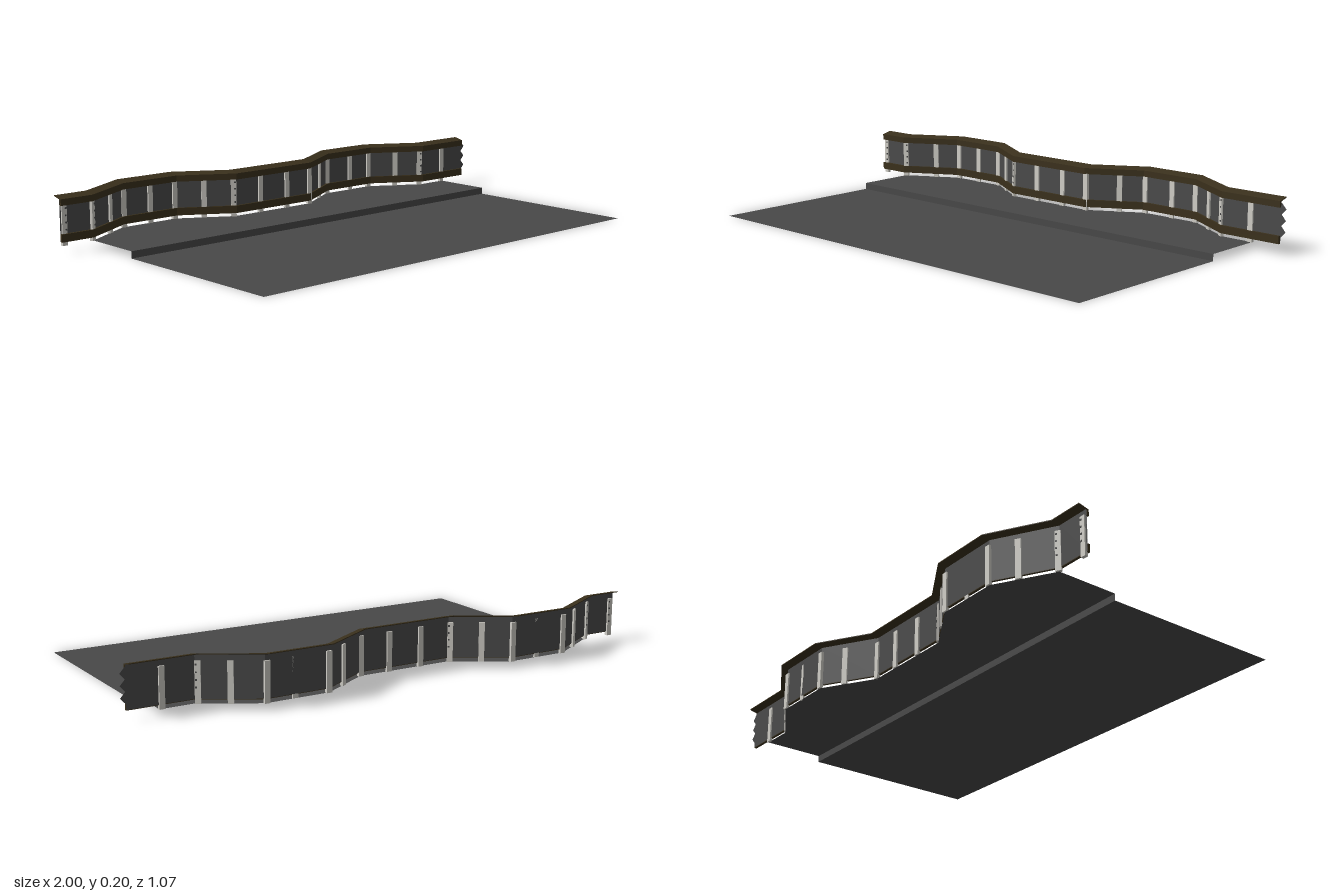
import * as THREE from 'three';

const mat = (name, color) => new THREE.MeshStandardMaterial({ name, color, side: THREE.DoubleSide });

// Wall line seen from above: [x, z]
const Z0 = -0.39, Z1 = -0.505;
const path = [[-1, Z0], [-0.874, Z0], [-0.67, Z1], [-0.436, Z1], [-0.245, Z0],
  [0.12, Z0], [0.313, Z1], [0.55, Z1], [0.743, Z0], [0.98, Z0]];

// Position and heading on the wall line at a given x
function onPath(x) {
  let i = 0;
  while (i < path.length - 2 && x > path[i + 1][0]) i++;
  const [ax, az] = path[i], [bx, bz] = path[i + 1];
  return { z: az + (bz - az) * (x - ax) / (bx - ax), angle: -Math.atan2(bz - az, bx - ax) };
}

// Sweep a [z offset, y] profile along the wall line; closed profiles get end faces
function sweep(profile, closed) {
  const pos = [];
  const put = (p, q) => pos.push(p[0], q[1], p[1] + q[0]);
  const n = profile.length;
  for (let i = 0; i < path.length - 1; i++) {
    const a = path[i], b = path[i + 1];
    for (let j = 0; j < (closed ? n : n - 1); j++) {
      const p = profile[j], q = profile[(j + 1) % n];
      put(a, p); put(b, p); put(b, q);
      put(a, p); put(b, q); put(a, q);
    }
  }
  if (closed) {
    const tris = THREE.ShapeUtils.triangulateShape(profile.map(p => new THREE.Vector2(...p)), []);
    for (const end of [path[0], path[path.length - 1]])
      for (const t of tris) t.forEach(k => put(end, profile[k]));
  }
  const g = new THREE.BufferGeometry();
  g.setAttribute('position', new THREE.Float32BufferAttribute(pos, 3));
  g.computeVertexNormals();
  return g;
}

export function createModel() {
  const root = new THREE.Group();
  root.name = 'barrierSection';
  const floorMat = mat('asphaltGrey', 0x484848);
  const panelMat = mat('panelGrey', 0x4a4a4a);
  const railMat = mat('railBrown', 0x3a301c);
  const postMat = mat('postLight', 0xcfcdc6);

  const add = (name, geo, material, parent = root) => {
    const m = new THREE.Mesh(geo, material);
    m.name = name;
    parent.add(m);
    return m;
  };

  // Ground: low road, kerb face and raised pavement that follows the wall
  const X0 = -0.87, X1 = 0.868, kerbZ = -0.16, kerbH = 0.025;
  const road = add('road', new THREE.PlaneGeometry(X1 - X0, 0.535 - kerbZ), floorMat);
  road.rotation.x = -Math.PI / 2;
  road.position.set((X0 + X1) / 2, 0, (0.535 + kerbZ) / 2);
  const kerb = add('kerb', new THREE.PlaneGeometry(X1 - X0, kerbH), floorMat);
  kerb.position.set((X0 + X1) / 2, kerbH / 2, kerbZ);
  const outline = [[X0, kerbZ], [X1, kerbZ], [X1, Z0],
    ...path.slice(2, -1).reverse(), [X0, Z0]].map(([x, z]) => new THREE.Vector2(x, -z));
  const pavement = add('pavement', new THREE.ShapeGeometry(new THREE.Shape(outline)), floorMat);
  pavement.rotation.x = -Math.PI / 2;
  pavement.position.y = kerbH;

  // Wall panels with a saw-tooth right end
  add('wallPanels', sweep([[0, 0.04], [0, 0.189]], false), panelMat);
  const teeth = new THREE.Shape();
  teeth.moveTo(0.98, 0.04);
  for (let i = 0; i < 3; i++) {
    const y = 0.06 + i * 0.04;
    teeth.lineTo(0.982, y);
    teeth.lineTo(1, y + 0.02);
  }
  teeth.lineTo(0.982, 0.18);
  teeth.lineTo(0.98, 0.18);
  add('panelTeeth', new THREE.ShapeGeometry(teeth), panelMat).position.z = Z0;

  // Sloping cap with a front lip, and the bottom rail
  add('capRail', sweep([[0.01, 0.165], [0.01, 0.188], [-0.03, 0.197], [-0.03, 0.194],
    [0.002, 0.186], [0.002, 0.165]], true), railMat);
  add('bottomRail', sweep([[0.01, 0.038], [0.01, 0.066], [0.001, 0.066], [0.001, 0.038]], true), railMat);

  // Posts straddling the panels; the ones in the bay middles sit on the front only
  const posts = new THREE.Group();
  posts.name = 'posts';
  root.add(posts);
  const frontOnly = [-0.55, 0.44], jointed = [-0.985, -0.87, -0.25, 0.735];
  const places = [-0.755, -0.665, -0.44, -0.345, -0.125, 0.005, 0.12, 0.23, 0.315,
    0.545, 0.645, 0.86, ...jointed, ...frontOnly];
  for (const x of places) {
    const { z, angle } = onPath(x);
    const post = new THREE.Group();
    post.name = 'post';
    post.position.set(x, 0, z);
    post.rotation.y = angle;
    posts.add(post);
    const half = frontOnly.includes(x);
    const bar = add('postBar', new THREE.BoxGeometry(0.02, 0.142, half ? 0.006 : 0.012), postMat, post);
    bar.position.set(0, 0.096, half ? 0.003 : 0);
    // Dark studs where panel sections meet
    if (jointed.includes(x))
      for (const y of [0.08, 0.105, 0.13, 0.155])
        add('stud', new THREE.BoxGeometry(0.006, 0.006, 0.015), panelMat, post).position.set(0.005, y, 0);
  }
  return root;
}
